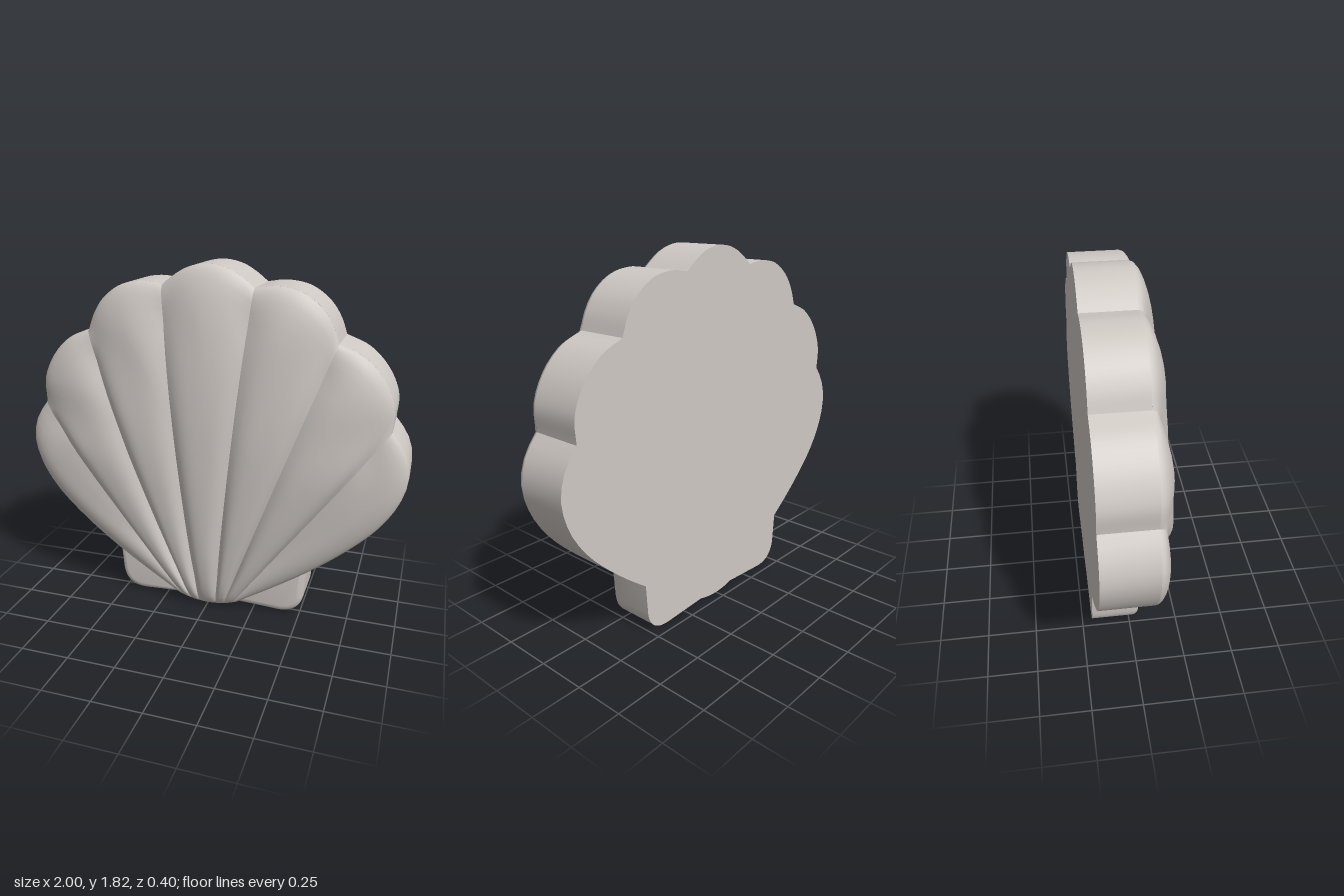
import * as THREE from 'three';
import { toCreasedNormals } from 'three/addons/utils/BufferGeometryUtils.js';
import { ParametricGeometry } from 'three/addons/geometries/ParametricGeometry.js';

const BACK = -0.2, RIM = 0.06, DOME = 0.14;
const vec = ([x, y]) => new THREE.Vector3(x, y, 0);
const mirror = (pts) => pts.map(([x, y]) => [-x, y]).reverse();

// outer edge of each rib, running left to right
const centre = [[-0.23, 1.72], [-0.18, 1.76], [-0.1, 1.805], [0, 1.823], [0.1, 1.805], [0.18, 1.76], [0.23, 1.72]];
const upper = [[0.23, 1.72], [0.33, 1.732], [0.45, 1.71], [0.55, 1.64], [0.605, 1.56], [0.635, 1.48]];
const side = [[0.635, 1.48], [0.75, 1.43], [0.85, 1.33], [0.908, 1.2], [0.905, 1.08]];
const lower = [[0.905, 1.08], [0.97, 0.99], [1, 0.87], [0.97, 0.73], [0.88, 0.58], [0.72, 0.42],
  [0.53, 0.27], [0.32, 0.13], [0.16, 0.03]];
const edges = [mirror(lower), mirror(side), mirror(upper), centre, upper, side, lower];
const names = ['rightLowerRib', 'rightSideRib', 'rightUpperRib', 'centreRib', 'leftUpperRib', 'leftSideRib', 'leftLowerRib'];

// where the ribs meet the rounded tip at the bottom
const baseX = [-0.16, -0.13, -0.09, -0.045, 0.045, 0.09, 0.13, 0.16];
const basePoint = (x) => vec([x, 0.03 * (x / 0.16) ** 2]);

export function createModel() {
  const group = new THREE.Group();
  const shell = new THREE.MeshStandardMaterial({ color: 0xcfc9c4 });
  shell.name = 'shell';
  const add = (name, geometry) => {
    const mesh = new THREE.Mesh(geometry, shell);
    mesh.name = name;
    group.add(mesh);
  };

  // closed outline: the scalloped edge, then the tip from right to left
  const curves = edges.map((e) => new THREE.CatmullRomCurve3(e.map(vec)));
  const outline = curves.flatMap((c) => c.getSpacedPoints(24).slice(0, -1));
  for (let i = 0; i < 16; i++) outline.push(basePoint(0.16 - 0.02 * i));
  const segments = outline.map((p, i) => new THREE.Line3(p, outline[(i + 1) % outline.length]));
  const near = new THREE.Vector3();
  const edgeDistance = (p) => {
    let d = Infinity;
    for (const s of segments) d = Math.min(d, s.closestPointToPoint(p, true, near).distanceToSquared(p));
    return Math.sqrt(d);
  };

  // domed ribs: each a fan strip, lowered towards the grooves on its sides
  curves.forEach((curve, i) => {
    const end = i === 0 || i === 6;
    const rib = (u, v, target) => {
      const t = 0.5 - 0.5 * Math.cos(Math.PI * v);
      const base = basePoint(THREE.MathUtils.lerp(baseX[i], baseX[i + 1], u));
      target.copy(base).lerp(curve.getPointAt(u), t).setZ(0);
      const d = edgeDistance(target);
      const w = 1 - Math.min(1, d / 0.8);
      let across = Math.abs(2 * u - 1);
      if (end && (i === 0 ? u < 0.5 : u > 0.5)) across = 0;
      const groove = 0.036 * across ** 3 * Math.min(1, d / 0.15);
      target.z = RIM + DOME * Math.sqrt(1 - w * w) - groove;
    };
    const geometry = new ParametricGeometry(rib, end ? 24 : 12, 24);
    geometry.computeVertexNormals();
    add(names[i], geometry);
  });

  // straight side wall and flat back
  const body = new THREE.ExtrudeGeometry(new THREE.Shape(outline.map((p) => new THREE.Vector2(p.x, p.y))),
    { depth: RIM - BACK, bevelEnabled: false });
  body.translate(0, 0, BACK);
  add('shellBody', toCreasedNormals(body, 0.5));

  // hinge ears, rounded at the front and flat at the back
  const ear = (s) => {
    const b = 0.035;
    const shape = new THREE.Shape();
    shape.moveTo(s * 0.08, 0.02 + b);
    shape.lineTo(s * 0.38, 0.003 + b);
    shape.quadraticCurveTo(s * 0.475, 0.0 + b, s * 0.483, 0.12);
    shape.lineTo(s * 0.495, 0.26);
    shape.lineTo(s * 0.08, 0.26);
    const geometry = new THREE.ExtrudeGeometry(shape,
      { depth: 0.25, bevelSize: b, bevelThickness: b, bevelSegments: 4, curveSegments: 10 });
    geometry.translate(0, 0, 0.05 - b - 0.25);
    const pos = geometry.attributes.position;
    for (let i = 0; i < pos.count; i++) pos.setZ(i, Math.max(BACK, pos.getZ(i)));
    return toCreasedNormals(geometry, 0.7);
  };
  add('leftEar', ear(1));
  add('rightEar', ear(-1));

  return group;
}
